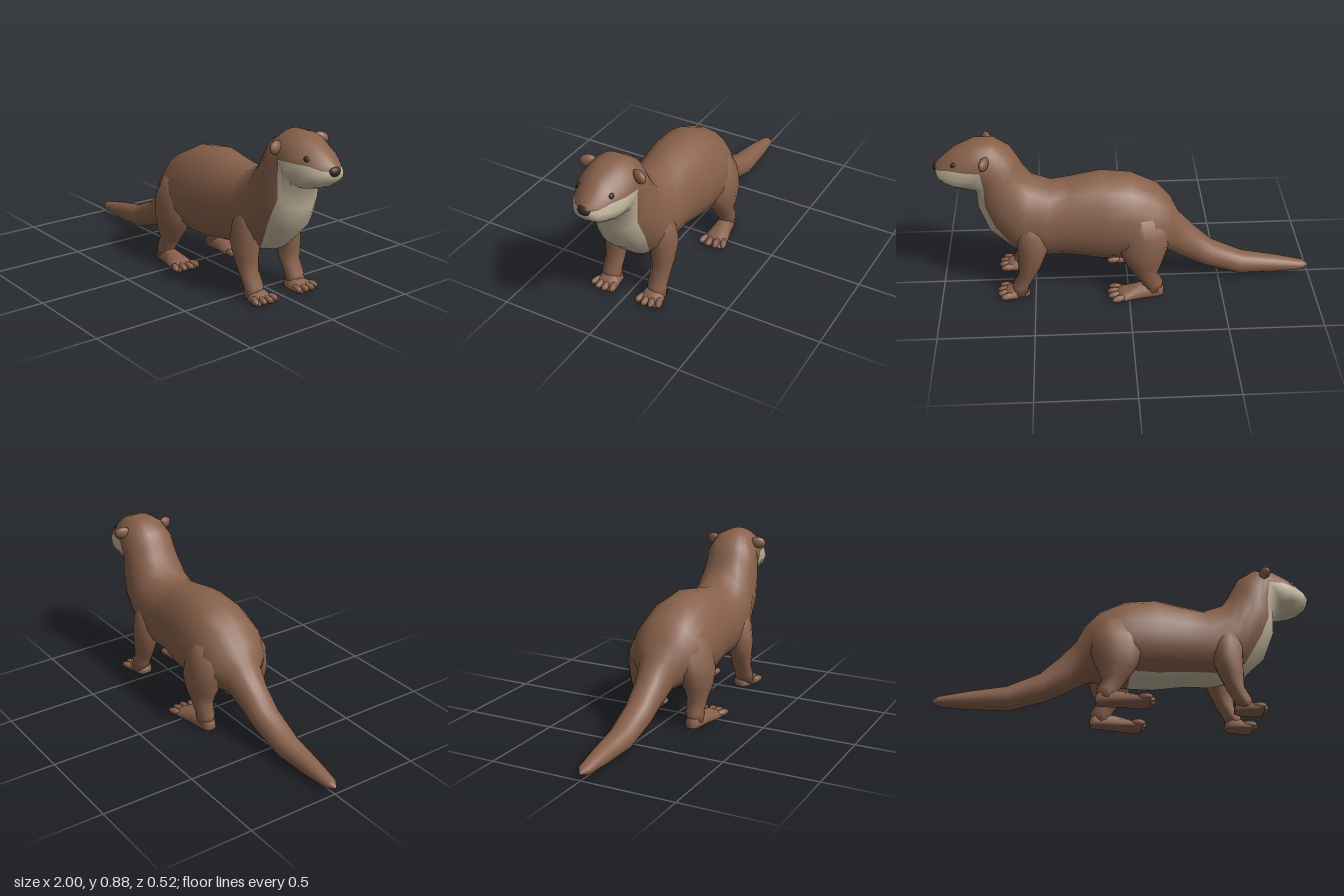
import * as THREE from 'three';

const fur = new THREE.MeshStandardMaterial({ color: 0x87604a });
fur.name = 'brown fur';
const cream = new THREE.MeshStandardMaterial({ color: 0xc2b69e });
cream.name = 'cream fur';
const dark = new THREE.MeshStandardMaterial({ color: 0x3a2a25 });
dark.name = 'dark nose and eyes';

// Skin a list of equal-sized closed rings; isCream(i, j) picks the second material
function loft(rings, isCream = () => false) {
  const n = rings[0].length;
  const faces = [[], []];
  for (let i = 0; i < rings.length - 1; i++) {
    for (let j = 0; j < n; j++) {
      const a = i * n + j, d = i * n + (j + 1) % n, b = a + n, c = d + n;
      faces[isCream(i, j) ? 1 : 0].push(a, b, c, a, c, d);
    }
  }
  // Close both ends with fans
  const last = (rings.length - 1) * n;
  for (let j = 1; j < n - 1; j++) {
    faces[0].push(0, j, j + 1, last, last + j + 1, last + j);
  }
  const g = new THREE.BufferGeometry();
  g.setAttribute('position', new THREE.Float32BufferAttribute(rings.flat(2), 3));
  g.setIndex([...faces[0], ...faces[1]]);
  g.addGroup(0, faces[0].length, 0);
  g.addGroup(faces[0].length, faces[1].length, 1);
  g.computeVertexNormals();
  return g;
}

function add(parent, name, geometry, material) {
  const m = new THREE.Mesh(geometry, material);
  m.name = name;
  parent.add(m);
  return m;
}

function ellipsoid(parent, name, material, p, r, seg = 10) {
  const m = add(parent, name, new THREE.SphereGeometry(1, seg, Math.max(6, seg - 2)), material);
  m.position.set(...p);
  m.scale.set(...r);
  return m;
}

// Tail to muzzle: top x, top y, bottom x, bottom y, half width, cream half angle if not 30
const SPINE = [
  [-1, 0.045, -1, 0.03, 0.008],
  [-0.97, 0.065, -0.96, 0.015, 0.033],
  [-0.82, 0.1, -0.83, 0.008, 0.05],
  [-0.63, 0.135, -0.61, 0.012, 0.068],
  [-0.46, 0.215, -0.43, 0.07, 0.078],
  [-0.36, 0.31, -0.3, 0.135, 0.085],
  [-0.28, 0.4, -0.21, 0.19, 0.105],
  [-0.24, 0.48, -0.16, 0.2, 0.165],
  [-0.16, 0.57, -0.1, 0.185, 0.2],
  [-0.02, 0.64, 0, 0.178, 0.212],
  [0.14, 0.66, 0.14, 0.175, 0.2],
  [0.3, 0.63, 0.3, 0.197, 0.177],
  [0.4, 0.612, 0.45, 0.2, 0.178],
  [0.5, 0.65, 0.61, 0.245, 0.178, 34],
  [0.54, 0.71, 0.735, 0.365, 0.168, 56],
  [0.565, 0.76, 0.785, 0.5, 0.155, 55],
  [0.6, 0.82, 0.788, 0.605, 0.148, 62],
  [0.68, 0.875, 0.84, 0.615, 0.148, 96],
  [0.78, 0.88, 0.9, 0.63, 0.134, 92],
  [0.88, 0.84, 0.945, 0.648, 0.1, 96],
  [0.95, 0.783, 0.978, 0.675, 0.068, 100],
  [0.982, 0.755, 0.988, 0.705, 0.03, 100],
];
const BELLY = 8, BACK = 16, CREAM_START = 9;

function bodyRing([tx, ty, bx, by, w, deg = 30]) {
  const c = THREE.MathUtils.degToRad(deg);
  // The trunk is heavier below, and the head more so towards the cheeks
  const trunk = 0.14 * Math.max(0, 1 - Math.abs(tx - 0.05) / 0.55);
  const pear = trunk + 0.26 * THREE.MathUtils.smoothstep(tx, 0.6, 0.88);
  return Array.from({ length: BELLY + BACK }, (_, j) => {
    const t = j < BELLY
      ? -c + 2 * c * j / BELLY
      : c + (2 * Math.PI - 2 * c) * (j - BELLY) / BACK;
    const up = -Math.cos(t), s = Math.sin(t);
    const side = Math.sign(s) * Math.pow(Math.abs(s), 0.9);
    return [
      (tx + bx) / 2 + up * (tx - bx) / 2,
      (ty + by) / 2 + up * (ty - by) / 2,
      side * w * (1 - pear * up),
    ];
  });
}

// Leg sections from the ankle up: y, x, z, radius x, radius z
const FRONT_LEG = [
  [0.015, 0.585, 0.135, 0.045, 0.055],
  [0.07, 0.575, 0.135, 0.046, 0.052],
  [0.13, 0.54, 0.135, 0.047, 0.054],
  [0.2, 0.522, 0.138, 0.065, 0.062],
  [0.29, 0.505, 0.132, 0.083, 0.076],
  [0.38, 0.51, 0.115, 0.085, 0.082],
  [0.47, 0.52, 0.09, 0.06, 0.07],
];
const HIND_LEG = [
  [0.02, -0.125, 0.165, 0.05, 0.045],
  [0.075, -0.125, 0.163, 0.058, 0.047],
  [0.135, -0.09, 0.16, 0.064, 0.055],
  [0.2, -0.08, 0.158, 0.1, 0.072],
  [0.28, -0.075, 0.145, 0.133, 0.095],
  [0.37, -0.08, 0.13, 0.135, 0.097],
  [0.47, -0.07, 0.1, 0.1, 0.09],
];
// Foot sections from the heel forward: x offset, height, half width
const FRONT_FOOT = [[-0.045, 0.035, 0.03], [-0.02, 0.065, 0.05], [0.03, 0.06, 0.06], [0.075, 0.04, 0.068], [0.1, 0.02, 0.06]];
const HIND_FOOT = [[-0.055, 0.045, 0.025], [-0.03, 0.08, 0.042], [0.07, 0.07, 0.05], [0.15, 0.05, 0.066], [0.22, 0.022, 0.066]];

function legRing([y, x, z, rx, rz], side) {
  return Array.from({ length: 12 }, (_, j) => {
    const t = j / 12 * Math.PI * 2;
    return [x + Math.cos(t) * rx, y, side * z + Math.sin(t) * rz];
  });
}

// Flat-soled arch across the foot
function footRing([x, h, w]) {
  return Array.from({ length: 12 }, (_, j) => {
    const t = j / 12 * Math.PI * 2;
    const up = -Math.cos(t);
    return [x, up < -0.3 ? 0 : h * (up + 0.3) / 1.3, Math.sin(t) * w];
  });
}

function buildLeg(parent, name, sections, footSections, heel, side) {
  const leg = new THREE.Group();
  leg.name = name;
  parent.add(leg);
  add(leg, name + 'Limb', loft(sections.map(s => legRing(s, side))), fur);

  const foot = new THREE.Group();
  foot.name = name + 'Foot';
  foot.position.set(heel[0], 0, side * heel[1]);
  foot.rotation.y = -side * heel[2];
  leg.add(foot);
  add(foot, 'paw', loft(footSections.map(footRing)), fur);
  // Four fanned toes
  const [tipX, , w] = footSections[footSections.length - 1];
  for (let i = 0; i < 4; i++) {
    const f = (i - 1.5) / 1.5;
    const toe = ellipsoid(foot, 'toe', fur, [tipX - 0.012 - 0.015 * f * f, 0.02, f * w * 0.85], [0.042, 0.02, 0.019], 8);
    toe.rotation.y = -f * 0.3;
  }
}

export function createModel() {
  const model = new THREE.Group();
  model.name = 'otter';

  // Tail, trunk, neck and head in one skin with a cream underside
  add(model, 'body', loft(SPINE.map(bodyRing), (i, j) => i >= CREAM_START && j < BELLY), [fur, cream]);

  ellipsoid(model, 'nose', dark, [0.976, 0.73, 0], [0.024, 0.025, 0.037], 12);

  for (const side of [1, -1]) {
    const label = side > 0 ? 'Near' : 'Far';
    buildLeg(model, 'front' + label + 'Leg', FRONT_LEG, FRONT_FOOT, [0.578, 0.128, 0.08], side);
    buildLeg(model, 'hind' + label + 'Leg', HIND_LEG, HIND_FOOT, [-0.13, 0.165, 0.09], side);

    // Eyes and small rounded ears
    ellipsoid(model, 'eye' + label, dark, [0.882, 0.776, side * 0.087], [0.018, 0.018, 0.012]);
    const ear = ellipsoid(model, 'ear' + label, fur, [0.728, 0.812, side * 0.14], [0.022, 0.033, 0.045]);
    ear.rotation.set(side * 0.15, side * 0.35, 0);
  }
  return model;
}
